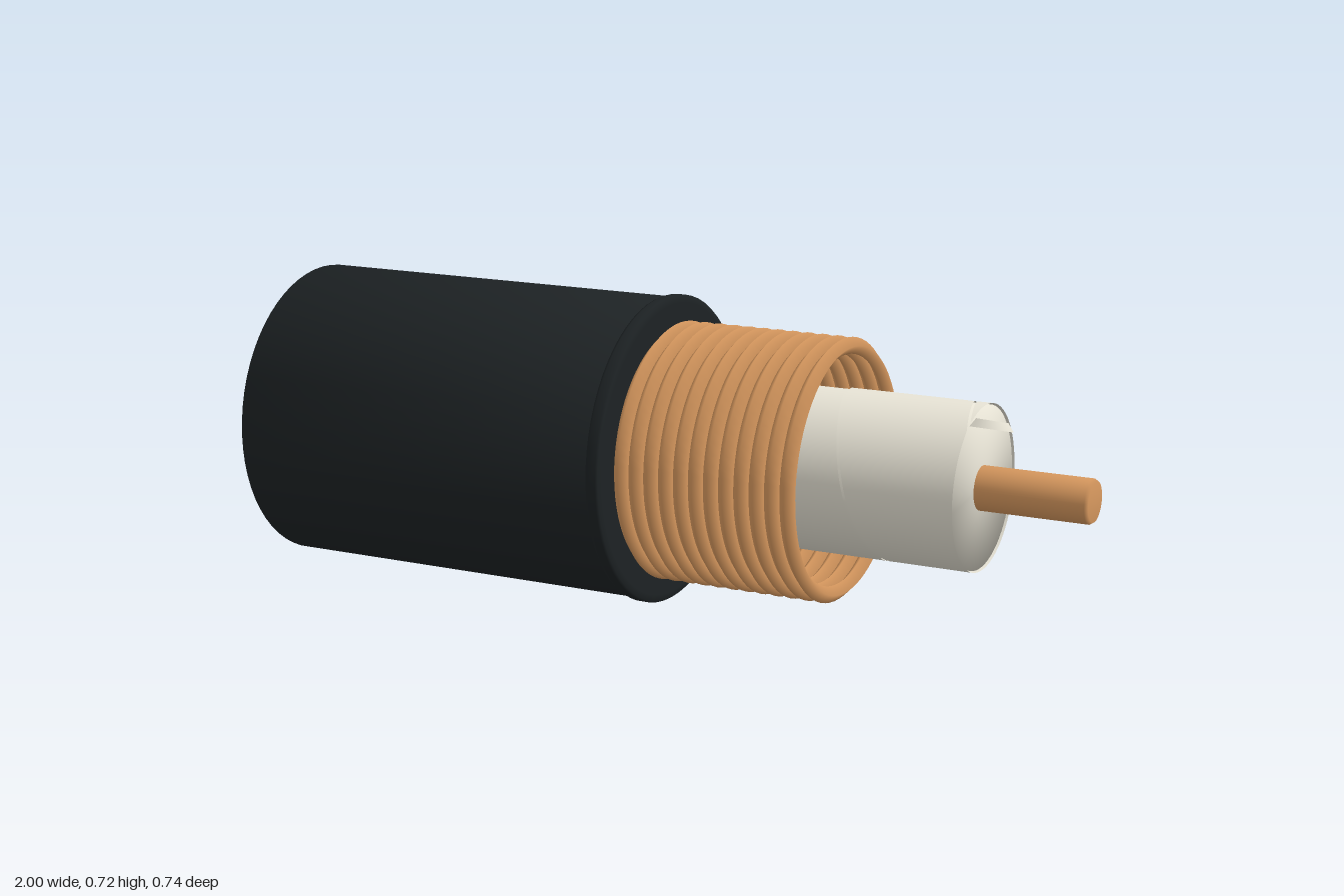
import * as THREE from 'three';

const AXIS_Y = 0.358;

const material = (color, side = THREE.FrontSide) =>
  new THREE.MeshStandardMaterial({ color, side });

// Turned solid lying along x, from [x, radius] pairs ordered by x
function turned(name, profile, mat) {
  const points = profile.map(([x, r]) => new THREE.Vector2(r, x));
  const mesh = new THREE.Mesh(new THREE.LatheGeometry(points, 64), mat);
  mesh.geometry.rotateZ(-Math.PI / 2);
  mesh.name = name;
  return mesh;
}

// Surface strip between two edge curves, each a function of t in 0..1
function strip(name, edgeA, edgeB, steps, mat) {
  const positions = [], index = [];
  for (let i = 0; i <= steps; i++) {
    positions.push(...edgeA(i / steps), ...edgeB(i / steps));
    if (i < steps) {
      const k = i * 2;
      index.push(k, k + 2, k + 1, k + 1, k + 2, k + 3);
    }
  }
  const geometry = new THREE.BufferGeometry();
  geometry.setAttribute('position', new THREE.Float32BufferAttribute(positions, 3));
  geometry.setIndex(index);
  geometry.computeVertexNormals();
  const mesh = new THREE.Mesh(geometry, mat);
  mesh.name = name;
  return mesh;
}

export function createModel() {
  const black = material(0x1d2224);
  const copper = material(0xd8995f);
  const ivory = material(0xe8e4d6);
  const foil = material(0xe8e4d6, THREE.DoubleSide);

  const model = new THREE.Group();
  model.name = 'cutawayCable';
  const cable = new THREE.Group();
  cable.name = 'cable';
  cable.position.set(0, AXIS_Y, 0.0125);
  cable.rotation.y = -0.0337;
  model.add(cable);

  // Outer jacket and the slightly raised lip at its cut end
  cable.add(turned('outerJacket', [[-0.988, 0], [-0.988, 0.351], [-0.03, 0.351], [-0.03, 0]], black));
  cable.add(turned('jacketLip',
    [[-0.056, 0.34], [-0.052, 0.355], [-0.045, 0.358], [-0.027, 0.358], [-0.022, 0.354], [-0.02, 0.34], [-0.02, 0]], black));

  // Shield: touching copper rings, open inside
  const shield = new THREE.Group();
  shield.name = 'copperShield';
  const ringGeometry = new THREE.TorusGeometry(0.281, 0.019, 4, 72);
  ringGeometry.rotateY(Math.PI / 2);
  for (let i = 0; i < 12; i++) {
    const ring = new THREE.Mesh(ringGeometry, copper);
    ring.name = 'shieldRing';
    ring.position.x = -0.003 + i * 0.037;
    shield.add(ring);
  }
  cable.add(shield);

  // Insulating core and central conductor
  cable.add(turned('insulation', [[-0.03, 0], [-0.03, 0.183], [0.74, 0.183], [0.74, 0]], ivory));
  cable.add(turned('conductor', [[0.7, 0], [0.7, 0.05], [0.99, 0.05], [0.998, 0.045], [0.998, 0]], copper));

  // Thin foil wound in a helix round the insulation
  const pitch = 0.3, radius = 0.1865, end = 0.745;
  const foilEdge = (shift) => (t) => {
    const a = Math.PI * (-2 + 4.15 * t);
    const x = 0.42 + pitch * a / (2 * Math.PI) + shift;
    return [Math.min(x, end), radius * Math.cos(a), radius * Math.sin(a)];
  };
  cable.add(strip('foilWrap', foilEdge(0), foilEdge(pitch - 0.006), 132, foil));

  // Loose twisted end of the foil, cutting across the top of the insulation
  const line = (a, b) => (t) => a.map((v, i) => v + (b[i] - v) * t);
  cable.add(strip('foilTail',
    line([0.745, 0.159, 0.098], [0.752, 0.092, -0.156]),
    line([0.75, 0.172, 0.072], [0.742, 0.114, -0.148]), 8, foil));

  return model;
}
